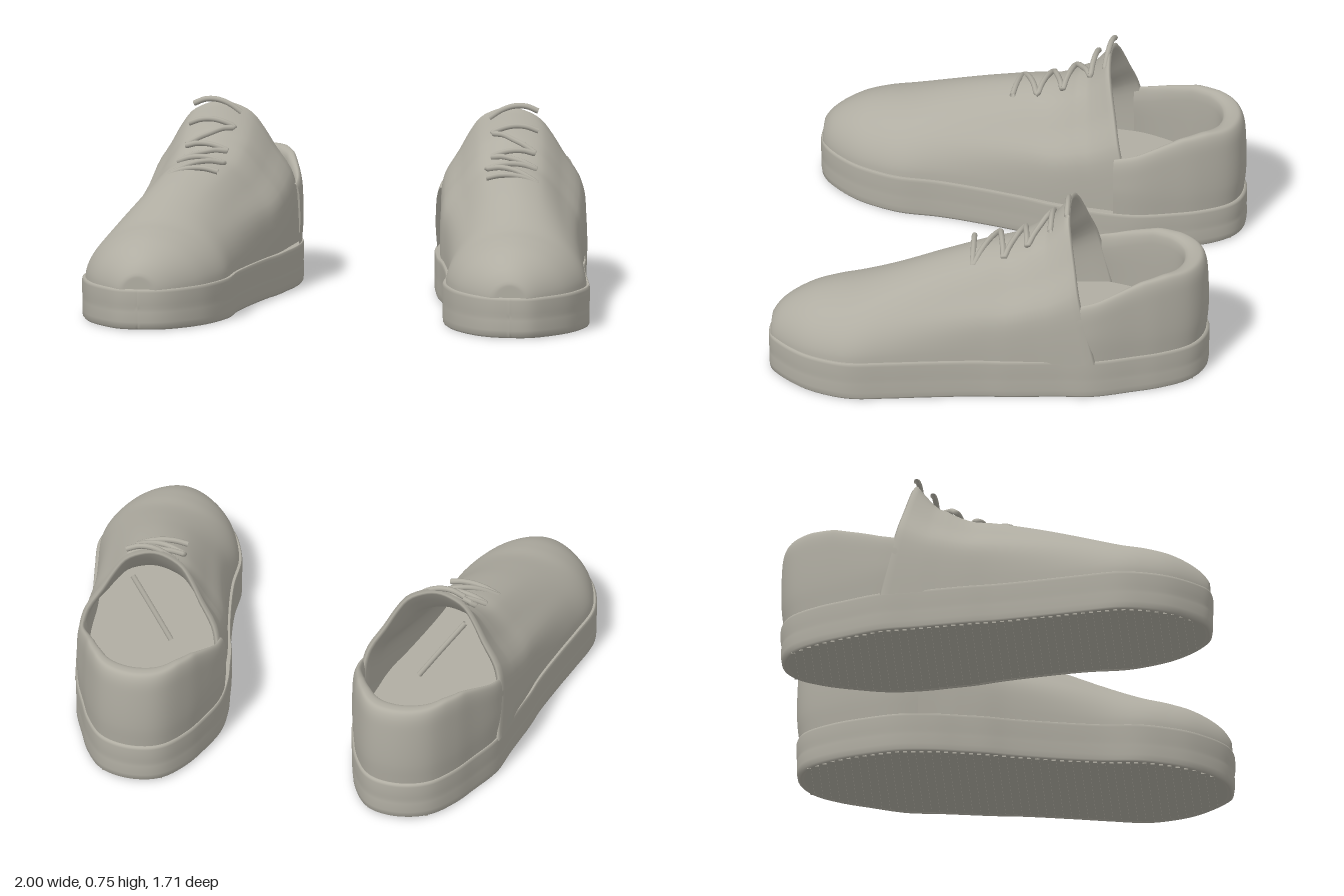
import * as THREE from 'three';
import { mergeGeometries } from 'three/addons/utils/BufferGeometryUtils.js';

const V = (x, y, z = 0) => new THREE.Vector3(x, y, z);
const lerp = THREE.MathUtils.lerp;

// Plan of the +x shoe, toe to heel: z, inner x, outer x, height of the ridge
const rows = [
  [0.85, 0.735, 0.735, 0.17], [0.84, 0.66, 0.81, 0.21], [0.8, 0.59, 0.865, 0.265],
  [0.7, 0.5, 0.945, 0.325], [0.6, 0.45, 0.985, 0.355], [0.5, 0.42, 1, 0.375],
  [0.35, 0.41, 0.975, 0.425], [0.2, 0.385, 0.945, 0.475], [0, 0.34, 0.91, 0.53],
  [-0.1, 0.31, 0.9, 0.55], [-0.2, 0.29, 0.885, 0.61], [-0.31, 0.27, 0.868, 0.73],
];
const heelRows = [
  [-0.45, 0.265, 0.85], [-0.6, 0.3, 0.79], [-0.7, 0.335, 0.745], [-0.8, 0.395, 0.675], [-0.84, 0.45, 0.61],
];
const BASE = 0.15, EDGE_Z = -0.31, EDGE_Y = 0.73, SLANT = 0.23;

const plan = [...rows, ...heelRows];
const outline = new THREE.CatmullRomCurve3([
  ...plan.map(r => V(r[2], 0, r[0])),
  V(0.53, 0, -0.855),
  ...plan.slice(1).reverse().map(r => V(r[1], 0, r[0])),
], true).getPoints(200);

const edgeCurve = new THREE.CatmullRomCurve3(rows.map(r => V(r[1], r[2], r[0])));
const ridgeCurve = new THREE.CatmullRomCurve3(rows.map(r => V(r[3], 0, r[0])));

// Linear lookup in a table of [key, value] with falling keys
function lookup(table, key) {
  for (let i = 1; i < table.length; i++) {
    const [k0, v0] = table[i - 1], [k1, v1] = table[i];
    if (key >= k1) return lerp(v0, v1, THREE.MathUtils.clamp((key - k0) / (k1 - k0), 0, 1));
  }
  return table[table.length - 1][1];
}

// Skin a grid of points
function skin(grid) {
  const n = grid[0].length, index = [];
  for (let i = 0; i < grid.length - 1; i++) {
    for (let j = 0; j < n - 1; j++) {
      const a = i * n + j, d = a + n;
      index.push(a, a + 1, d, a + 1, d + 1, d);
    }
  }
  const geo = new THREE.BufferGeometry().setFromPoints(grid.flat());
  geo.setIndex(index);
  geo.computeVertexNormals();
  return geo;
}

// Rings of the outline, each [scale, height]
const rings = list => skin(list.map(([k, y]) =>
  outline.map(p => V(0.62 + (p.x - 0.62) * k, y, p.z * k))));

// Arch profiles as [width, height]: round at the toe, steep at the instep
const toeArch = Array.from({ length: 9 }, (_, i) => {
  const a = i / 8 * Math.PI / 2;
  return [Math.pow(Math.max(0, Math.cos(a)), 2 / 1.9), Math.pow(Math.sin(a), 2 / 1.9)];
});
const instepArch = [[1, 0], [1, 0.22], [0.98, 0.42], [0.92, 0.53], [0.72, 0.69], [0.57, 0.82], [0.42, 0.92], [0.2, 0.98], [0, 1]];

// One arch across the shoe at t, shrunk by inset and leaning at the opening
function arch(t, inset) {
  const e = edgeCurve.getPoint(t), z = Math.min(e.z, 0.838);
  const top = ridgeCurve.getPoint(t).x - Math.max(0, inset - 0.012);
  const cx = (e.x + e.y) / 2, half = Math.max(0, (e.y - e.x) / 2 - inset);
  const blend = THREE.MathUtils.smoothstep(-z, -0.5, 0.25);
  const side = toeArch.map(([w, v], i) => V(lerp(w, instepArch[i][0], blend), lerp(v, instepArch[i][1], blend)));
  const curve = new THREE.CatmullRomCurve3([
    ...side.map(p => V(-p.x, p.y)), ...side.slice(0, 8).reverse(),
  ]);
  const lean = SLANT * Math.pow(THREE.MathUtils.clamp((0.1 - z) / (0.1 - EDGE_Z), 0, 1), 2);
  return curve.getPoints(48).map(p => {
    const y = BASE + (top - BASE) * p.y;
    return V(cx + half * p.x, y, z - lean * Math.max(0, (z < -0.2 ? EDGE_Y : top) - y));
  });
}

// Vamp and tongue, rolled over the opening edge into a lining
function vampGeometry() {
  const grid = [];
  for (let i = 0; i <= 60; i++) grid.push(arch(i / 60, 0.012));
  grid.push(arch(1, 0.022).map(p => p.add(V(0, 0, -0.008))));
  for (let i = 0; i <= 20; i++) grid.push(arch(1 - i / 20 * 0.6, 0.034));
  return skin(grid);
}

// Heel wall with a padded collar
function heelGeometry() {
  const collar = [[-0.36, 0.395], [-0.4, 0.405], [-0.45, 0.415], [-0.55, 0.45], [-0.65, 0.483], [-0.75, 0.495], [-0.86, 0.49]];
  const path = outline.filter(p => p.z < -0.355).reverse();
  return skin(path.map(p => {
    const t = lookup(collar, p.z);
    const ki = lerp(0.87, 0.78, THREE.MathUtils.clamp((-p.z - 0.4) / 0.45, 0, 1));
    const profile = new THREE.CatmullRomCurve3([
      [0.97, BASE], [0.993, 0.25], [0.99, t - 0.1], [0.978, t - 0.04], [0.953, t - 0.01],
      [0.915, t], [ki + 0.02, t - 0.015], [ki, t - 0.06], [ki + 0.04, 0.19],
    ].map(([k, y]) => V(k, y)));
    return profile.getPoints(32).map(q => V(0.56 + (p.x - 0.56) * q.x, q.y, -0.4 + (p.z + 0.4) * q.x));
  }));
}

// Cross ribs under the sole
function ribGeometry() {
  const inner = plan.map(r => [r[0], r[1]]), outer = plan.map(r => [r[0], r[2]]);
  const ribs = [];
  for (let z = -0.8; z <= 0.8; z += 0.032) {
    const a = lookup(inner, z) + 0.02, b = lookup(outer, z) - 0.02;
    ribs.push(new THREE.BoxGeometry(b - a, 0.009, 0.016).translate((a + b) / 2, 0.0045, z));
  }
  return mergeGeometries(ribs);
}

// Lace lying over the instep through [x, z] points
function laceGeometry(points) {
  const ridge = rows.map(r => [r[0], r[3]]);
  const path = [];
  const place = (x, z) => {
    const h = lookup(ridge, z), dx = x - 0.6;
    path.push(V(x, h + 0.008 - 6 * (h - BASE) * dx * dx, z));
  };
  points.forEach(([x, z], i) => {
    place(x, z);
    const next = points[i + 1];
    if (next) for (const f of [0.25, 0.5, 0.75]) place(lerp(x, next[0], f), lerp(z, next[1], f));
  });
  return tube(path);
}
const tube = path => new THREE.TubeGeometry(new THREE.CatmullRomCurve3(path), path.length * 6, 0.011, 8);

// Mirror across x, keeping faces outward
function mirror(geo) {
  const g = geo.clone().scale(-1, 1, 1);
  const ix = g.index.array;
  for (let i = 0; i < ix.length; i += 3) [ix[i], ix[i + 1]] = [ix[i + 1], ix[i]];
  return g;
}

export function createModel() {
  const grey = new THREE.MeshStandardMaterial({ color: 0xb0ada2, side: THREE.DoubleSide });
  grey.name = 'warmGrey';

  const parts = {
    // repeated rings keep the sole's edges crisp
    sole: rings([[0, 0.006], [0.965, 0.006], [0.965, 0.006], [0.98, 0], [0.994, 0.008], [0.998, 0.03], [0.998, 0.07],
      [0.995, 0.085], [1, 0.1], [1, 0.148], [0.996, 0.157], [0.988, 0.16], [0.988, 0.16], [0, 0.16]]),
    soleRibs: ribGeometry(),
    insole: rings([[0.9, 0.2], [0, 0.2]]),
    vamp: vampGeometry(),
    heel: heelGeometry(),
    lace: laceGeometry([[0.69, -0.25], [0.51, -0.24], [0.69, -0.16], [0.52, -0.13],
      [0.71, -0.07], [0.52, -0.03], [0.73, 0.05], [0.53, 0.07]]),
    topLace: laceGeometry([[0.49, -0.3], [0.68, -0.315]]),
    innerLace: tube([V(0.5, 0.32, -0.32), V(0.58, 0.43, -0.29), V(0.67, 0.55, -0.255)]),
  };

  const model = new THREE.Group();
  model.name = 'pairOfShoes';
  for (const side of ['left', 'right']) {
    const shoe = new THREE.Group();
    shoe.name = side + 'Shoe';
    for (const [name, geo] of Object.entries(parts)) {
      const mesh = new THREE.Mesh(side === 'left' ? geo : mirror(geo), grey);
      mesh.name = name;
      shoe.add(mesh);
    }
    model.add(shoe);
  }
  return model;
}
